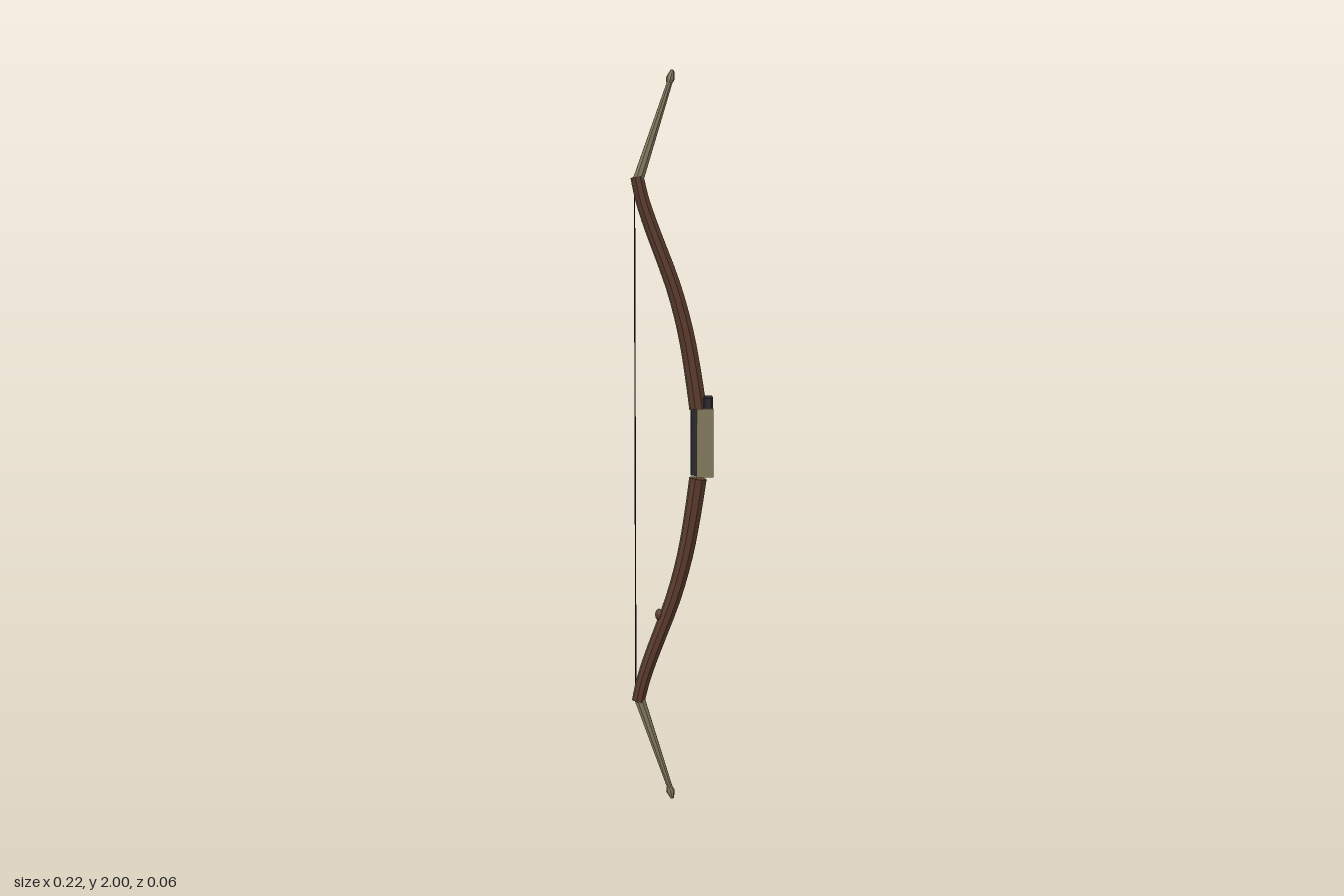
import * as THREE from 'three';
import { toCreasedNormals } from 'three/addons/utils/BufferGeometryUtils.js';

const material = (name, color, side = THREE.FrontSide) => {
  const m = new THREE.MeshStandardMaterial({ color, side });
  m.name = name;
  return m;
};

// Loft of eight-sided rings along a path in the xy plane.
// ring(t) gives [half thickness across the path, half depth in z].
function loft(curve, ring, steps) {
  const SIDES = 8, pos = [], idx = [];
  const addRing = (c, n, a, b) => {
    for (let j = 0; j < SIDES; j++) {
      const ang = ((j + 0.5) / SIDES) * Math.PI * 2;
      const k = 1 / Math.cos(Math.PI / SIDES);
      const u = Math.cos(ang) * a * k, v = -Math.sin(ang) * b * k;
      pos.push(c.x + n.x * u, c.y + n.y * u, v);
    }
  };
  for (let i = 0; i <= steps; i++) {
    const t = i / steps, T = curve.getTangent(t);
    const [a, b] = ring(t);
    addRing(curve.getPoint(t), new THREE.Vector2(T.y, -T.x), a, b);
  }
  for (let i = 0; i < steps; i++) {
    for (let j = 0; j < SIDES; j++) {
      const k = (j + 1) % SIDES, p = i * SIDES, q = p + SIDES;
      idx.push(p + j, p + k, q + j, p + k, q + k, q + j);
    }
  }
  const end = steps * SIDES;
  for (let j = 1; j < SIDES - 1; j++) idx.push(0, j + 1, j, end, end + j, end + j + 1);
  const g = new THREE.BufferGeometry();
  g.setAttribute('position', new THREE.Float32BufferAttribute(pos, 3));
  g.setIndex(idx);
  return toCreasedNormals(g, 0.6);
}

// Upright prism from an outline of [x, z] points
function prism(outline, y0, y1) {
  const shape = new THREE.Shape(outline.map(([x, z]) => new THREE.Vector2(x, -z)));
  const g = new THREE.ExtrudeGeometry(shape, { depth: y1 - y0, bevelEnabled: false });
  return g.rotateX(-Math.PI / 2).translate(0, y0, 0);
}

export function createModel() {
  const bow = new THREE.Group();
  bow.name = 'bow';
  const wood = material('brown wood', 0x5a3a2b);
  const bone = material('olive bone', 0x837a5e);
  const leather = material('dark leather', 0x2b282d);
  const cord = material('string black', 0x1c1b1b);

  const add = (name, geometry, mat, parent = bow) => {
    const m = new THREE.Mesh(geometry, mat);
    m.name = name;
    parent.add(m);
    return m;
  };
  const lerp = THREE.MathUtils.lerp;

  // Upper and lower limbs, measured away from the middle of the grip
  const limbPath = [[0.071, 0.096], [0.056, 0.2], [0.036, 0.31], [0.003, 0.432],
    [-0.05, 0.575], [-0.077, 0.655], [-0.092, 0.72]];
  for (const s of [1, -1]) {
    const limb = new THREE.Group();
    limb.name = s > 0 ? 'upperLimb' : 'lowerLimb';
    bow.add(limb);
    const curve = new THREE.SplineCurve(limbPath.map(([x, y]) => new THREE.Vector2(x, 1 + s * y)));
    const half = (t) => lerp(0.022, 0.016, t);
    add('woodenLimb', loft(curve, (t) => [half(t), lerp(0.021, 0.013, t)], 18), wood, limb);

    // narrow strip on the string side
    const strip = [];
    for (let i = 0; i <= 12; i++) {
      const t = i / 12, p = curve.getPoint(t), T = curve.getTangent(t);
      strip.push(new THREE.Vector2(p.x - s * T.y * half(t), p.y + s * T.x * half(t)));
    }
    add('bellyStrip', loft(new THREE.SplineCurve(strip), () => [0.003, 0.005], 18), bone, limb);

    // bone tip and its pointed knob
    const root = new THREE.Vector2(-0.09, 1 + s * 0.712), end = new THREE.Vector2(-0.003, 1 + s * 0.978);
    add('boneTip', loft(new THREE.LineCurve(root, end),
      (t) => [lerp(0.014, 0.007, t), lerp(0.012, 0.007, t)], 1), bone, limb);
    const knob = new THREE.LatheGeometry(
      [[0, -0.022], [0.008, -0.02], [0.012, -0.008], [0.005, 0.014], [0, 0.016]]
        .map(([r, y]) => new THREE.Vector2(r, y)), 8);
    const k = add('tipKnob', toCreasedNormals(knob, 0.6), bone, limb);
    k.position.set(-0.003, 1 + s * 0.985, 0);
    k.rotation.z = s > 0 ? -0.25 : Math.PI + 0.25;
  }

  // Small bead on the lower limb
  const bead = add('limbBead', new THREE.SphereGeometry(0.012, 8, 6), wood);
  bead.position.set(-0.036, 0.525, 0);
  bead.scale.set(0.9, 1.4, 0.9);

  // Grip: wrapped core, taller back block, two side plates
  const half = [[0.05, 0.012], [0.06, 0.02], [0.078, 0.028], [0.092, 0.021], [0.1, 0.02]];
  const core = [...half, ...half.map(([x, z]) => [x, -z]).reverse()];
  add('gripCore', prism(core, 0.915, 1.097), leather);
  add('gripBack', prism([[0.082, 0.015], [0.088, 0.021], [0.104, 0.021], [0.109, 0.016],
    [0.109, -0.016], [0.104, -0.021], [0.088, -0.021], [0.082, -0.015]], 0.915, 1.128), leather);
  for (const s of [1, -1]) {
    const plate = add(s > 0 ? 'frontGripPlate' : 'backGripPlate',
      new THREE.BoxGeometry(0.045, 0.188, 0.004), bone);
    plate.position.set(0.0875, 1.006, s * 0.03);
  }

  // Bowstring
  const string = add('bowstring', new THREE.CylinderGeometry(0.002, 0.002, 1.42, 6), cord);
  string.position.set(-0.1, 1, 0);
  return bow;
}
